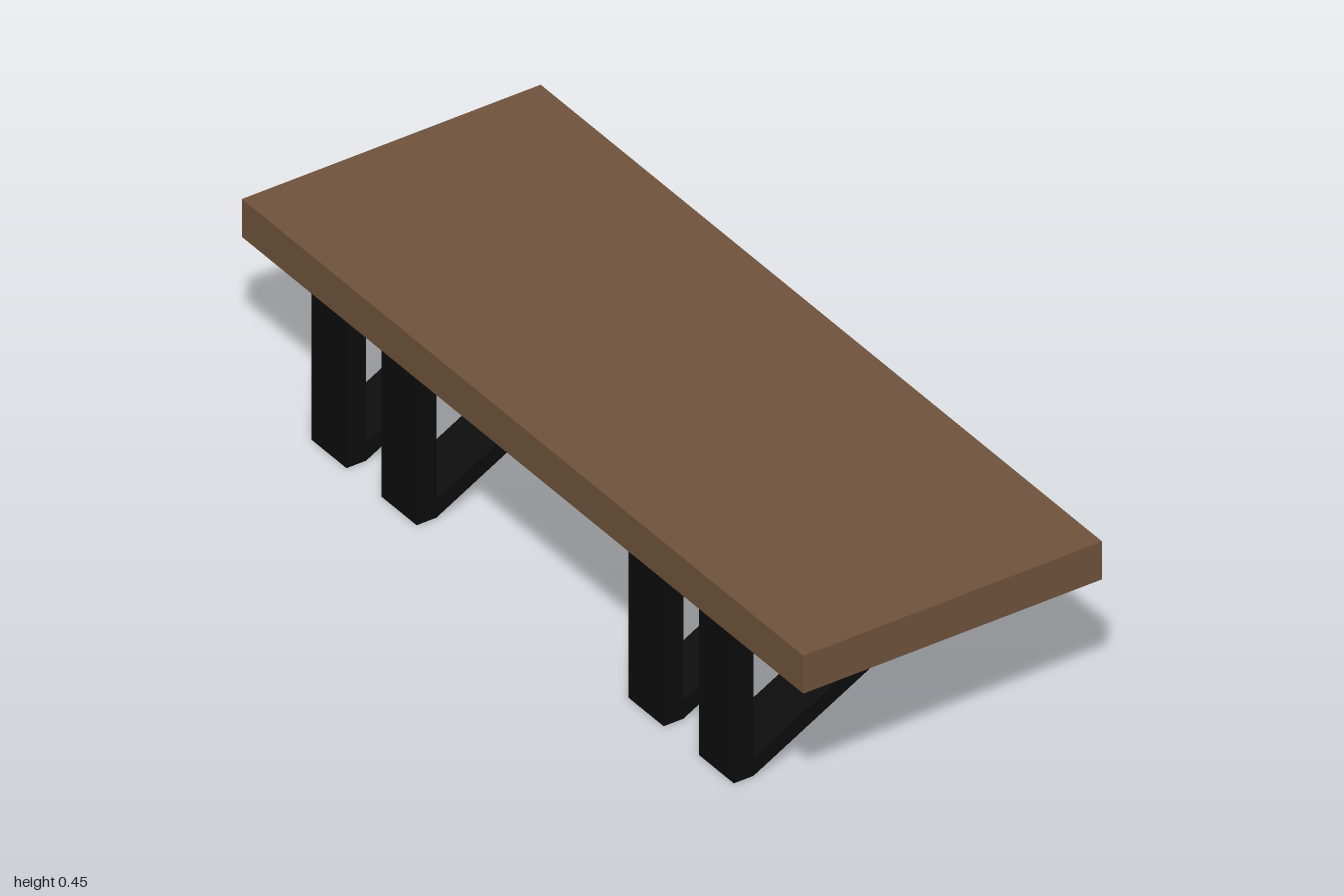
import * as THREE from 'three';

const HALF_W = 0.365, UNDERSIDE = 0.355, TOP = 0.447, BAR_DEPTH = 0.125;

// Extrude an x-y outline along z, centred on z = 0
function bar(name, points, material) {
  const shape = new THREE.Shape(points.map(([x, y]) => new THREE.Vector2(x, y)));
  const geometry = new THREE.ExtrudeGeometry(shape, { depth: BAR_DEPTH, bevelEnabled: false });
  geometry.translate(0, 0, -BAR_DEPTH / 2);
  const mesh = new THREE.Mesh(geometry, material);
  mesh.name = name;
  return mesh;
}

export function createModel() {
  const wood = new THREE.MeshStandardMaterial({ color: 0x70543d });
  wood.name = 'brown wood';
  const metal = new THREE.MeshStandardMaterial({ color: 0x0c0c0c });
  metal.name = 'black metal';

  const model = new THREE.Group();
  model.name = 'bracketShelf';

  // Thick plank
  const plank = new THREE.Mesh(new THREE.BoxGeometry(HALF_W * 2, TOP - UNDERSIDE, 2), wood);
  plank.name = 'plank';
  plank.position.y = (TOP + UNDERSIDE) / 2;
  model.add(plank);

  // Two pairs of brackets: upright post and sloping brace, mitred to the plank
  const inner = -0.317;
  for (const z of [-0.69, -0.44, 0.44, 0.69]) {
    const bracket = new THREE.Group();
    bracket.name = 'bracket';
    bracket.add(
      bar('post', [[-HALF_W, 0], [inner, 0], [inner, UNDERSIDE], [-HALF_W, UNDERSIDE]], metal),
      bar('brace', [[inner, 0], [0.345, UNDERSIDE], [0.268, UNDERSIDE], [inner, 0.043]], metal),
    );
    bracket.position.z = z;
    model.add(bracket);
  }
  return model;
}
